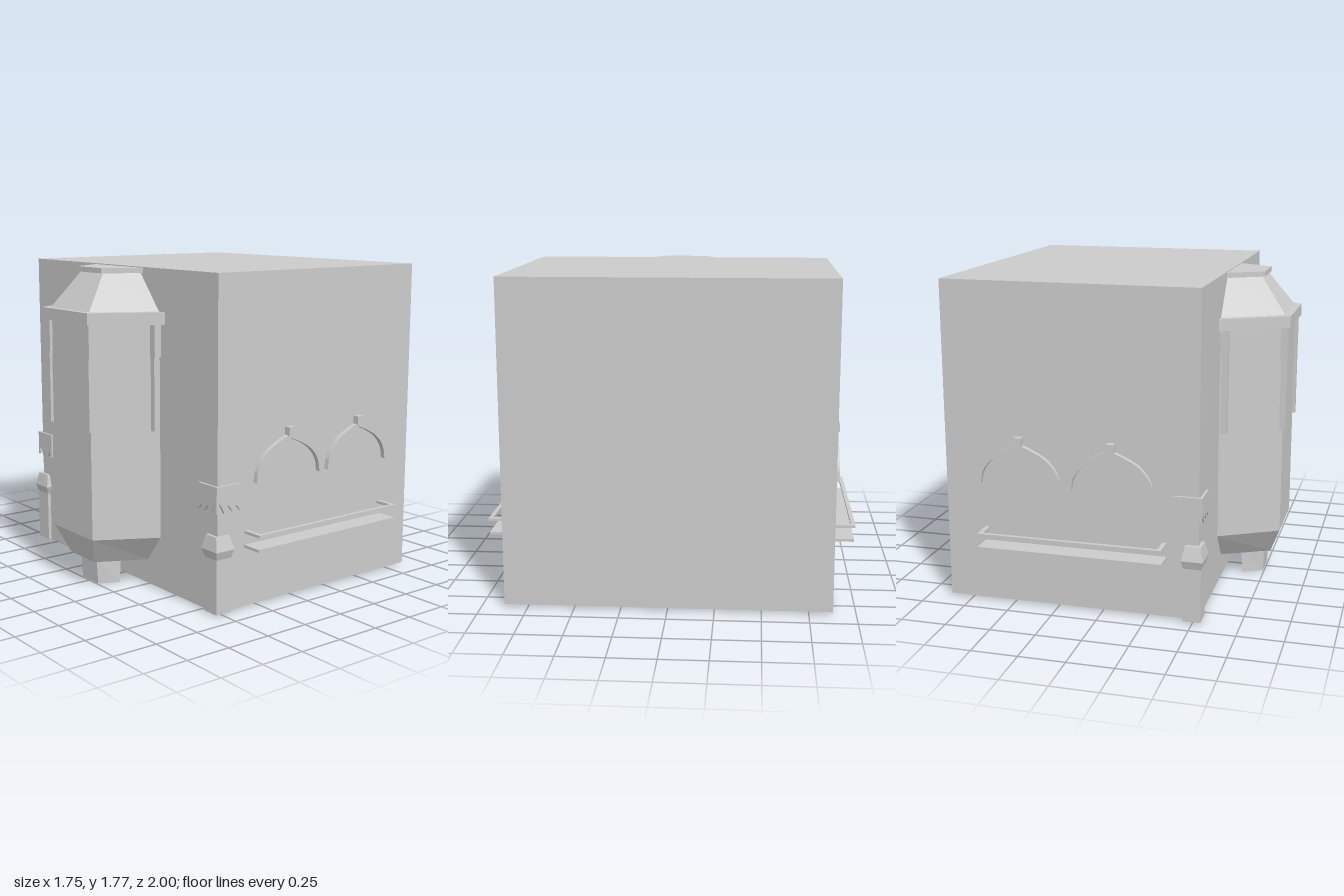
import * as THREE from 'three';

const material = new THREE.MeshStandardMaterial({ color: 0xcccccc, flatShading: true, side: THREE.DoubleSide });

function add(parent, name, geometry, x = 0, y = 0, z = 0) {
  const mesh = new THREE.Mesh(geometry, material);
  mesh.name = name;
  mesh.position.set(x, y, z);
  parent.add(mesh);
  return mesh;
}

// Box given by its minimum and maximum corners
function block(parent, name, [x0, y0, z0], [x1, y1, z1]) {
  return add(parent, name, new THREE.BoxGeometry(x1 - x0, y1 - y0, z1 - z0),
    (x0 + x1) / 2, (y0 + y1) / 2, (z0 + z1) / 2);
}

// Solid through stacked rings of [x, z] corners, each at its own height
function loft(rings) {
  const p = [];
  const at = (r, i) => {
    const [x, z] = r.pts[i % r.pts.length];
    return [x, r.y, z];
  };
  const n = rings[0].pts.length;
  for (let k = 0; k + 1 < rings.length; k++) {
    const a = rings[k], b = rings[k + 1];
    for (let i = 0; i < n; i++) {
      p.push(...at(a, i), ...at(b, i), ...at(b, i + 1), ...at(a, i), ...at(b, i + 1), ...at(a, i + 1));
    }
  }
  const low = rings[0], top = rings[rings.length - 1];
  for (let i = 1; i < n - 1; i++) {
    p.push(...at(low, 0), ...at(low, i), ...at(low, i + 1));
    p.push(...at(top, 0), ...at(top, i + 1), ...at(top, i));
  }
  const g = new THREE.BufferGeometry();
  g.setAttribute('position', new THREE.Float32BufferAttribute(p, 3));
  g.computeVertexNormals();
  return g;
}

// Half-hexagon ring: outer face at xo, wall side at xi
const bay = (y, xo, zo, xi, zi) => ({ y, pts: [[xi, zi], [xo, zo], [xo, -zo], [xi, -zi]] });
const rect = (y, x0, x1, z0, z1) => ({ y, pts: [[x1, z1], [x0, z1], [x0, z0], [x1, z0]] });

function extrude(points, depth) {
  const shape = new THREE.Shape(points.map(([x, y]) => new THREE.Vector2(x, y)));
  const g = new THREE.ExtrudeGeometry(shape, { depth, bevelEnabled: false });
  g.translate(0, 0, -depth / 2);
  return g;
}

function archGeometry() {
  const smooth = (pts) => new THREE.CatmullRomCurve3(pts.map(([x, y]) => new THREE.Vector3(x, y, 0)))
    .getPoints(12).map((v) => [v.x, v.y]);
  const outer = smooth([[0.235, 0.675], [0.225, 0.74], [0.19, 0.8], [0.14, 0.845], [0.07, 0.88], [0, 0.91]]);
  const inner = smooth([[0.21, 0.675], [0.2, 0.735], [0.17, 0.785], [0.125, 0.825], [0.06, 0.86], [0, 0.885]]);
  const mirror = (pts) => pts.slice(0, -1).reverse().map(([x, y]) => [-x, y]);
  const whole = (pts) => [...pts, ...mirror(pts)];
  return extrude([...whole(outer), ...whole(inner).reverse()], 0.035);
}

function createTurret() {
  const turret = new THREE.Group();
  turret.name = 'bayTurret';
  add(turret, 'turretBody', loft([
    bay(0.145, -0.79, 0.12, -0.52, 0.26),
    bay(0.3, -0.85, 0.2, -0.52, 0.385),
    bay(1.48, -0.85, 0.2, -0.52, 0.385),
  ]));
  add(turret, 'turretRim', loft([bay(1.475, -0.88, 0.23, -0.52, 0.435), bay(1.54, -0.88, 0.23, -0.52, 0.435)]));
  add(turret, 'turretRoof', loft([bay(1.54, -0.845, 0.195, -0.52, 0.38), bay(1.735, -0.7, 0.11, -0.52, 0.215)]));
  add(turret, 'turretCap', loft([bay(1.735, -0.717, 0.12, -0.52, 0.235), bay(1.763, -0.717, 0.12, -0.52, 0.235)]));
  add(turret, 'turretFoot', loft([bay(0, -0.742, 0.08, -0.63, 0.13), bay(0.15, -0.75, 0.08, -0.62, 0.13)]));
  // Hanging strips on the turret edges, wider at the top
  for (const s of [-1, 1]) {
    for (const [x, z] of [[-0.847, 0.2], [-0.55, 0.378]]) {
      const strip = new THREE.Group();
      strip.name = 'edgeStrip';
      block(strip, 'stripHead', [x - 0.02, 1.3, s * z - 0.022], [x + 0.02, 1.476, s * z + 0.022]);
      block(strip, 'stripTail', [x - 0.02, 0.9, s * z - 0.016], [x + 0.015, 1.3, s * z + 0.016]);
      turret.add(strip);
    }
  }
  return turret;
}

// Ornaments of one wall: s = 1 for the front, -1 for the back
function createWallTrim(s) {
  const trim = new THREE.Group();
  trim.name = s > 0 ? 'frontTrim' : 'backTrim';
  const dx = s > 0 ? 0 : -0.008;
  const zBlock = (name, x0, x1, y0, y1, za, zb) =>
    block(trim, name, [x0 + dx, y0, Math.min(s * za, s * zb)], [x1 + dx, y1, Math.max(s * za, s * zb)]);

  const arch = archGeometry();
  for (const x of [-0.05, 0.458]) {
    add(trim, 'windowArch', arch, x, 0, s * 0.888);
    zBlock('keystone', x - 0.02, x + 0.022, 0.898, 0.945, 0.87, 0.915);
  }

  // Solid lower shelf with an open frame above it
  zBlock('shelf', -0.345, 0.668, 0.333, 0.348, 0.87, 0.995);
  zBlock('railFront', -0.345, 0.668, 0.41, 0.425, 0.978, 1);
  zBlock('railEnd', -0.345, -0.32, 0.41, 0.425, 0.87, 0.978);
  zBlock('railEnd', 0.643, 0.668, 0.41, 0.425, 0.87, 0.978);

  // Corner post with a flared head
  const post = (y, x0, x1, za, zb) => rect(y, x0, x1, Math.min(s * za, s * zb), Math.max(s * za, s * zb));
  const out = s > 0 ? 0.898 : 0.912;
  add(trim, 'cornerPost', loft([
    post(0.01, -0.545, -0.45, 0.8, out),
    post(0.305, -0.545, -0.45, 0.8, out),
    post(0.35, -0.558, -0.44, 0.785, out + 0.015),
    post(0.425, -0.542, -0.455, 0.805, out - 0.008),
  ]));

  // Ragged sheet folded round the corner
  const ragged = extrude([[0, 0.69], [0, 0.55], [0.02, 0.6], [0.052, 0.545], [0.075, 0.585],
    [0.105, 0.55], [0.128, 0.58], [0.155, 0.55], [0.155, 0.69]], 0.014);
  add(trim, 'raggedSheet', ragged, -0.545, 0, s * 0.89);
  const side = add(trim, 'raggedSheetSide', ragged, -0.538, 0, s * 0.897);
  side.rotation.y = s * Math.PI / 2;
  return trim;
}

export function createModel() {
  const model = new THREE.Group();
  model.name = 'towerBlock';
  block(model, 'mainBlock', [-0.525, 0.012, -0.878], [0.875, 1.768, 0.878]);
  model.add(createTurret(), createWallTrim(1), createWallTrim(-1));
  return model;
}
